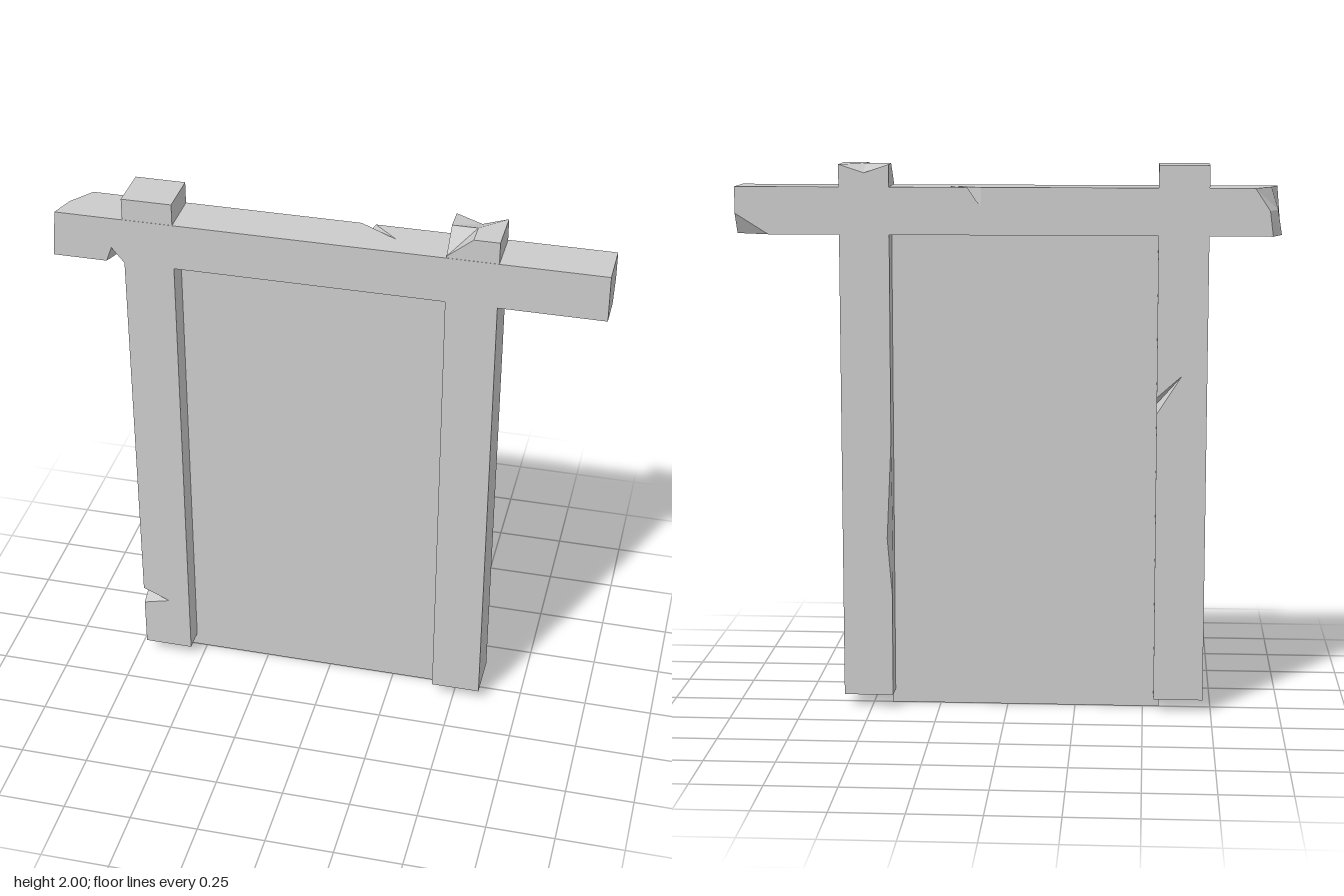
import * as THREE from 'three';

const V = ([x, y, z]) => new THREE.Vector3(x, y, z);
const D = 0.086; // half depth of the beam
const P = 0.085; // half depth of the posts

const material = new THREE.MeshStandardMaterial({ color: 0xcccccc, flatShading: true, side: THREE.DoubleSide });

function named(name, geometry) {
  const mesh = new THREE.Mesh(geometry, material);
  mesh.name = name;
  return mesh;
}

// Newell normal of a loop
function loopNormal(loop) {
  const n = new THREE.Vector3();
  loop.forEach((p, i) => n.add(p.clone().cross(loop[(i + 1) % loop.length])));
  return n.normalize();
}

// Solid from outline loops. A chip is [a, b, p, q]: the stretch a-b of an edge
// is broken away, down to tips p and q on the two faces that share the edge.
function chippedSolid(name, faceLoops, chips = []) {
  const positions = [];
  const tri = (a, b, c, out) => {
    const n = b.clone().sub(a).cross(c.clone().sub(a));
    const order = n.dot(out) >= 0 ? [a, b, c] : [a, c, b];
    order.forEach((p) => positions.push(p.x, p.y, p.z));
  };
  const loops = faceLoops.map((l) => l.map(V));
  const all = loops.flat();
  const centre = new THREE.Box3().setFromPoints(all).getCenter(new THREE.Vector3());
  const cuts = chips.map((c) => c.map(V));

  for (const loop of loops) {
    const out = loopNormal(loop);
    const mid = loop.reduce((s, p) => s.add(p), new THREE.Vector3()).divideScalar(loop.length);
    if (out.dot(mid.sub(centre)) < 0) out.negate();
    const inPlane = (p) => Math.abs(p.clone().sub(loop[0]).dot(out)) < 1e-4;

    // weave the broken stretches into the outline
    const outline = [];
    loop.forEach((c, i) => {
      const d = loop[(i + 1) % loop.length];
      const onEdge = (p) => Math.abs(p.distanceTo(c) + p.distanceTo(d) - c.distanceTo(d)) < 1e-5;
      outline.push(c);
      cuts.filter(([a, b]) => onEdge(a) && onEdge(b))
        .sort((k, l) => k[0].distanceTo(c) - l[0].distanceTo(c))
        .forEach(([a, b, p, q]) => {
          const tip = inPlane(p) ? p : q;
          outline.push(...(a.distanceTo(c) < b.distanceTo(c) ? [a, tip, b] : [b, tip, a]));
        });
    });

    const ax = Math.abs(out.x), ay = Math.abs(out.y), az = Math.abs(out.z);
    const flat = outline.map((p) => (ax >= ay && ax >= az ? new THREE.Vector2(p.y, p.z)
      : ay >= az ? new THREE.Vector2(p.x, p.z) : new THREE.Vector2(p.x, p.y)));
    for (const [i, j, k] of THREE.ShapeUtils.triangulateShape(flat, [])) {
      tri(outline[i], outline[j], outline[k], out);
    }
  }

  // inner walls of each chip
  for (const [a, b, p, q] of cuts) {
    tri(a, p, q, b.clone().sub(a));
    tri(b, p, q, a.clone().sub(b));
  }
  const geometry = new THREE.BufferGeometry();
  geometry.setAttribute('position', new THREE.Float32BufferAttribute(positions, 3));
  geometry.computeVertexNormals();
  return named(name, geometry);
}

// Six face loops of a plain box
function boxLoops(x0, x1, y0, y1, z0, z1) {
  const xEnd = (x) => [[x, y0, z0], [x, y1, z0], [x, y1, z1], [x, y0, z1]];
  const yEnd = (y) => [[x0, y, z0], [x1, y, z0], [x1, y, z1], [x0, y, z1]];
  const zEnd = (z) => [[x0, y0, z], [x1, y0, z], [x1, y1, z], [x0, y1, z]];
  return [xEnd(x0), xEnd(x1), yEnd(y0), yEnd(y1), zEnd(z0), zEnd(z1)];
}

function createBeam() {
  const B = 1.75, T = 1.92, R = 0.975;
  // worn end: x by row (bottom to top) and column (front to back)
  const wornX = [[-0.98, -0.98, -0.945], [-0.972, -0.965, -0.933], [-0.965, -0.94, -0.88]];
  const E = wornX.map((row, r) => row.map((x, c) => [x, [B, 1.84, T][r], [D, 0, -D][c]]));
  // broken corner at the other end
  const k1 = [R, 1.825, -D], k2 = [0.855, B, -D], k3 = [R, B, -0.035];
  const topF = [R, T, D], topB = [R, T, -D], botF = [R, B, D];
  const loops = [
    [E[2][0], topF, topB, E[2][2], E[2][1]],
    [E[0][0], botF, k3, k2, E[0][2], E[0][1]],
    [E[0][0], botF, topF, E[2][0], E[1][0]],
    [E[0][2], k2, k1, topB, E[2][2], E[1][2]],
    [botF, k3, k1, topB, topF],
    [k1, k2, k3],
  ];
  for (const r of [0, 1]) {
    for (const c of [0, 1]) loops.push([E[r][c], E[r][c + 1], E[r + 1][c + 1], E[r + 1][c]]);
  }
  return chippedSolid('crossBeam', loops, [
    [[-0.785, B, D], [-0.72, B, D], [-0.765, 1.805, D], [-0.76, B, 0.02]],
    [[0.09, T, -D], [0.14, T, -D], [0.23, T, 0], [0.092, 1.85, -D]],
  ]);
}

// Stub of the left post above the beam, with its broken front corner
function createPostTop() {
  const geometry = new THREE.BoxGeometry(0.18, 0.15, 2 * P, 2, 1, 2).translate(0.51, 1.925, 0);
  const pos = geometry.attributes.position;
  for (let i = 0; i < pos.count; i++) {
    if (pos.getY(i) < 1.99) continue;
    const x = pos.getX(i), z = pos.getZ(i);
    if (x < 0.43 && z > 0.05) pos.setY(i, 1.927);
    if (Math.abs(x - 0.51) < 0.01 && z < -0.05) pos.setY(i, 1.97);
  }
  geometry.computeVertexNormals();
  return named('leftPostTop', geometry);
}

export function createModel() {
  const model = new THREE.Group();
  model.name = 'doorFrame';

  // posts
  model.add(chippedSolid('rightPost', boxLoops(-0.72, -0.54, 0.05, 2, -P, P), [
    [[-0.72, 0.24, P], [-0.72, 0.31, P], [-0.62, 0.265, P], [-0.72, 0.265, 0.03]],
    [[-0.54, 1.11, -P], [-0.54, 1.17, -P], [-0.63, 1.25, -P], [-0.54, 1.14, -0.03]],
  ]));
  model.add(chippedSolid('leftPost', boxLoops(0.42, 0.6, 0.05, 1.85, -P, P), [
    [[0.42, 0.43, -P], [0.42, 1, -P], [0.437, 0.64, -P], [0.42, 0.64, -0.05]],
  ]));
  model.add(createPostTop());

  // beam
  model.add(createBeam());

  // thin panel between the posts
  const panel = named('panel', new THREE.PlaneGeometry(0.99, 1.8));
  panel.position.set(-0.065, 0.9, 0);
  model.add(panel);
  return model;
}
